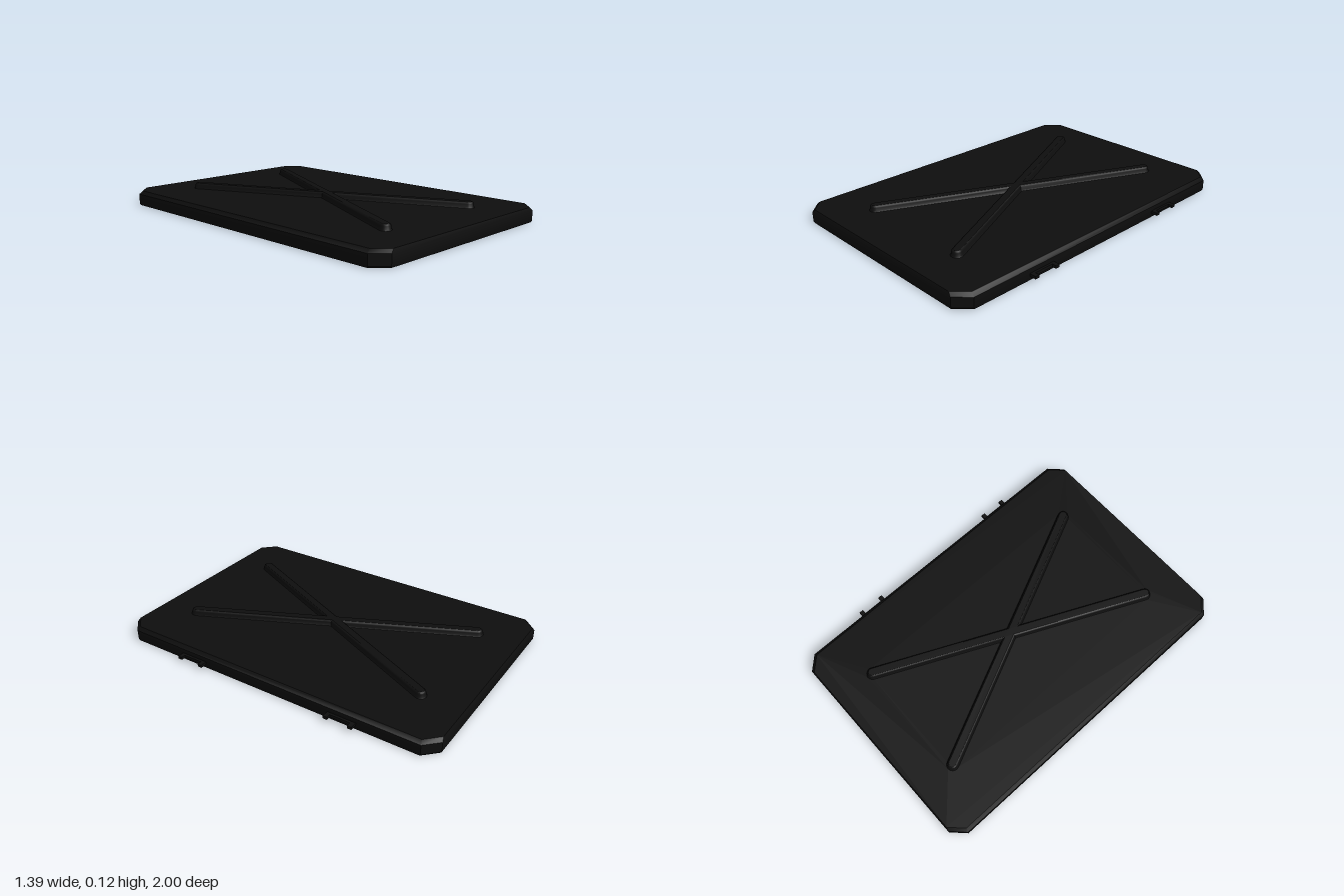
import * as THREE from 'three';
import { toCreasedNormals } from 'three/addons/utils/BufferGeometryUtils.js';

const CX = -0.02; // the lid sits slightly off centre because of the hinge tabs

// Rectangle with cut corners, counter-clockwise seen from above (plan y = -z)
function octagon(ix, iz) {
  const w = 0.675 - ix, d = 1 - iz, c = 0.075;
  return [
    [w, -d + c], [w, d - c], [w - c, d], [-w + c, d],
    [-w, d - c], [-w, -d + c], [-w + c, -d], [w - c, -d],
  ].map(([x, y]) => new THREE.Vector2(x, y));
}

// Outline of two crossed bars with round ends, half width r
function cross(r) {
  const ex = 0.35, ey = 0.75, len = Math.hypot(ex, ey), a = Math.atan2(ey, ex);
  const notchX = r / Math.sin(a), notchY = r / Math.cos(a);
  const notches = [[0, notchY], [-notchX, 0], [0, -notchY], [notchX, 0]];
  const pts = [];
  [a, Math.PI - a, Math.PI + a, -a].forEach((t, k) => {
    for (let i = 0; i <= 8; i++) {
      const u = t - Math.PI / 2 + (i / 8) * Math.PI;
      pts.push(new THREE.Vector2(
        Math.cos(t) * len + Math.cos(u) * r, Math.sin(t) * len + Math.sin(u) * r));
    }
    pts.push(new THREE.Vector2(...notches[k]));
  });
  return pts;
}

// Wall through a stack of [outline, height] sections
function loft(sections) {
  const pos = [];
  for (let s = 0; s + 1 < sections.length; s++) {
    const [lo, y0] = sections[s], [hi, y1] = sections[s + 1];
    lo.forEach((p, i) => {
      const j = (i + 1) % lo.length, q = lo[j], P = hi[i], Q = hi[j];
      pos.push(p.x, y0, -p.y, q.x, y0, -q.y, Q.x, y1, -Q.y);
      pos.push(p.x, y0, -p.y, Q.x, y1, -Q.y, P.x, y1, -P.y);
    });
  }
  const g = new THREE.BufferGeometry();
  g.setAttribute('position', new THREE.Float32BufferAttribute(pos, 3));
  g.computeVertexNormals();
  return toCreasedNormals(g, 0.6);
}

// Flat horizontal panel
function panel(outline, y, hole) {
  const shape = new THREE.Shape(outline);
  if (hole) shape.holes.push(new THREE.Path(hole));
  return new THREE.ShapeGeometry(shape).rotateX(-Math.PI / 2).translate(0, y, 0);
}

export function createModel() {
  const group = new THREE.Group();
  group.name = 'lid';
  const black = new THREE.MeshStandardMaterial({ color: 0x0e0e0e, side: THREE.DoubleSide });
  black.name = 'black plastic';

  const add = (name, geometry, x = CX, y = 0, z = 0) => {
    const mesh = new THREE.Mesh(geometry, black);
    mesh.name = name;
    mesh.position.set(x, y, z);
    group.add(mesh);
  };

  // Thin hollow lid, open underneath
  add('sideWalls', loft([
    [octagon(0.005, 0.005), 0], [octagon(0, 0), 0.01],
    [octagon(0, 0), 0.068], [octagon(0.02, 0.007), 0.086],
  ]));
  add('topPanel', panel(octagon(0.02, 0.007), 0.086, cross(0.035)));

  // Embossed cross, hollow from below
  add('crossWalls', loft([
    [cross(0.035), 0.086], [cross(0.031), 0.092], [cross(0.029), 0.108],
    [cross(0.026), 0.115], [cross(0.02), 0.119],
  ]));
  add('crossTop', panel(cross(0.02), 0.119));

  // Two C-shaped hinge tabs on the left edge
  for (const z of [-0.485, 0.485]) {
    add('hingeBar', new THREE.BoxGeometry(0.018, 0.016, 0.165), 0.66, 0.034, z);
    for (const s of [-1, 1]) {
      add('hingeProng', new THREE.BoxGeometry(0.043, 0.016, 0.025), 0.6735, 0.034, z + s * 0.0715);
    }
  }
  return group;
}
